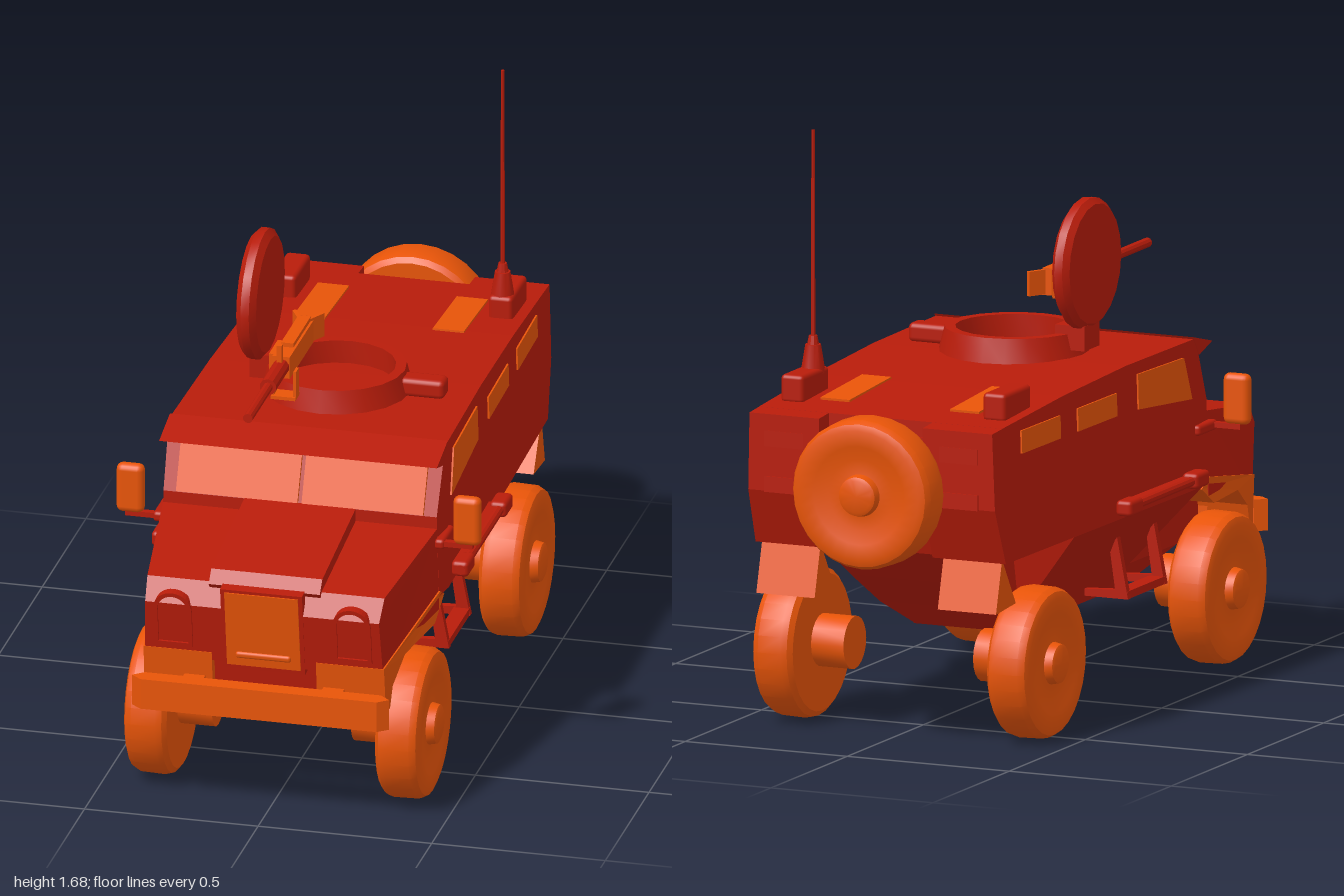
import * as THREE from 'three';
import { toCreasedNormals } from 'three/addons/utils/BufferGeometryUtils.js';
import { RoundedBoxGeometry } from 'three/addons/geometries/RoundedBoxGeometry.js';

const red = new THREE.MeshStandardMaterial({ color: 0xb81c0a });
const orange = new THREE.MeshStandardMaterial({ color: 0xe85408 });
const { lerp, clamp } = THREE.MathUtils;

// Half width of the hull at a given z and y: narrow nose, slight tail taper, V-shaped belly
function hullWidth(z, y) {
  let w = z > 0.45 ? lerp(0.41, 0.34, (z - 0.45) / 0.5) : lerp(0.385, 0.41, (z + 0.85) / 1.3);
  if (y > 0.54) w -= 0.012 * (y - 0.54) / 0.43;
  else if (z < 0.5) w = lerp(w, 0.15, clamp((0.54 - y) / 0.31, 0, 1));
  return w;
}

export function createModel() {
  const model = new THREE.Group();

  const add = (name, geo, mat, x = 0, y = 0, z = 0) => {
    const m = new THREE.Mesh(geo, mat);
    m.name = name;
    m.position.set(x, y, z);
    model.add(m);
    return m;
  };
  const box = (name, mat, w, h, d, x, y, z, r = 0) =>
    add(name, r ? new RoundedBoxGeometry(w, h, d, 2, r) : new THREE.BoxGeometry(w, h, d), mat, x, y, z);
  const both = (fn) => [1, -1].forEach((s) => fn(s, s > 0 ? 'left' : 'right'));
  const rod = (name, mat, r0, r1, len, axis, x, y, z, sides = 14) => {
    const g = new THREE.CylinderGeometry(r1, r0, len, sides);
    if (axis === 'x') g.rotateZ(-Math.PI / 2);
    if (axis === 'z') g.rotateX(Math.PI / 2);
    return add(name, toCreasedNormals(g, 0.6), mat, x, y, z);
  };
  const lathe = (points, sides, crease) => toCreasedNormals(
    new THREE.LatheGeometry(points.map(([r, h]) => new THREE.Vector2(r, h)), sides), crease);

  // Side outline of [z, y] points, swept across x between two widths (numbers or rules)
  const slab = (name, mat, outline, from, to) => {
    const shape = new THREE.Shape(outline.map(([z, y]) => new THREE.Vector2(-z, y)));
    const g = new THREE.ExtrudeGeometry(shape, { depth: 1, bevelEnabled: false }).rotateY(Math.PI / 2);
    const p = g.attributes.position;
    const at = (f, z, y) => (typeof f === 'function' ? f(z, y) : f);
    for (let i = 0; i < p.count; i++) {
      const z = p.getZ(i), y = p.getY(i);
      p.setX(i, lerp(at(from, z, y), at(to, z, y), p.getX(i)));
    }
    g.computeVertexNormals();
    return add(name, g, mat);
  };
  const negate = (f) => (typeof f === 'function' ? (z, y) => -f(z, y) : -f);
  const fullSlab = (name, mat, outline, f) => slab(name, mat, outline, negate(f), f);
  const sideSlab = (name, mat, outline, inner, outer) => both((s, side) => {
    if (s > 0) slab(`${side}${name}`, mat, outline, inner, outer);
    else slab(`${side}${name}`, mat, outline, negate(outer), negate(inner));
  });
  const proud = (d) => (z, y) => hullWidth(z, y) + d;

  // Hull
  fullSlab('cabin', red, [[0.52, 0.54], [0.52, 0.78], [0.44, 0.965], [0, 0.965], [-0.4, 0.95],
    [-0.78, 0.925], [-0.78, 0.66], [-0.74, 0.54], [0.45, 0.54]], hullWidth);
  sideSlab('RearCorner', red, [[-0.76, 0.926], [-0.845, 0.92], [-0.84, 0.7], [-0.78, 0.54], [-0.7, 0.54]], 0.16, hullWidth);
  fullSlab('hood', red, [[0.52, 0.5], [0.52, 0.745], [0.91, 0.69], [0.955, 0.63], [0.93, 0.46], [0.86, 0.48]], hullWidth);
  fullSlab('hoodBulge', red, [[0.5, 0.7], [0.5, 0.785], [0.9, 0.725], [0.93, 0.69], [0.9, 0.65]], 0.16);
  fullSlab('lowerHull', red, [[0.47, 0.54], [0.33, 0.23], [-0.24, 0.23], [-0.305, 0.33], [-0.35, 0.54]], hullWidth);
  fullSlab('chassis', red, [[0.91, 0.5], [0.89, 0.36], [0.74, 0.31], [-0.36, 0.31], [-0.55, 0.42], [-0.74, 0.54]], 0.2);
  fullSlab('keel', red, [[0.74, 0.31], [0.5, 0.23], [-0.24, 0.23], [-0.36, 0.31]],
    (z, y) => lerp(0.147, 0.2, (y - 0.23) / 0.08));
  fullSlab('visor', red, [[0.42, 0.972], [0.545, 0.94], [0.46, 0.915]], 0.4);
  box('rearDoor', red, 0.28, 0.3, 0.014, 0, 0.73, -0.781);
  both((s, side) => {
    for (const y of [0.85, 0.72]) box(`${side}RearLampPanel`, red, 0.12, 0.045, 0.012, s * 0.27, y, -0.839);
  });

  // Front end
  sideSlab('FrontFender', orange, [[0.935, 0.485], [0.52, 0.557], [0.47, 0.53], [0.56, 0.475], [0.78, 0.47],
    [0.87, 0.41], [0.89, 0.35], [0.92, 0.35]], 0.15, proud(0.004));
  const bumper = new THREE.Shape([[-0.37, -0.972], [-0.34, -0.945], [0.34, -0.945], [0.37, -0.972], [0.34, -0.997], [-0.34, -0.997]]
    .map(([x, y]) => new THREE.Vector2(x, y)));
  add('bumper', new THREE.ExtrudeGeometry(bumper, { depth: 0.09, bevelEnabled: false }).rotateX(-Math.PI / 2), orange, 0, 0.32, 0);
  both((s) => box('bumperMount', orange, 0.06, 0.06, 0.08, s * 0.2, 0.38, 0.915));
  const tilt = 0.147;
  box('grilleFrame', red, 0.236, 0.255, 0.03, 0, 0.57, 0.933).rotation.x = tilt;
  box('grille', orange, 0.212, 0.232, 0.03, 0, 0.572, 0.937).rotation.x = tilt;
  box('grilleHandle', orange, 0.16, 0.02, 0.02, 0, 0.49, 0.937, 0.008).rotation.x = tilt;
  const arch = (w, h) => new THREE.Shape().moveTo(-w, 0).lineTo(w, 0).lineTo(w, h - w).absarc(0, h - w, w, 0, Math.PI).lineTo(-w, 0);
  both((s, side) => {
    const rim = arch(0.055, 0.17);
    const hole = arch(0.043, 0.147);
    rim.holes.push(new THREE.Path(hole.getPoints(8).map((p) => p.add(new THREE.Vector2(0, 0.011)))));
    const g = new THREE.ExtrudeGeometry(rim, { depth: 0.025, bevelEnabled: false, curveSegments: 8 });
    add(`${side}HeadlightFrame`, g, red, s * 0.258, 0.502, 0.917).rotation.x = tilt;
  });

  // Glazing
  const paneAngle = -Math.atan2(0.08, 0.185);
  both((s, side) => {
    box(`${side}Windshield`, orange, 0.35, 0.16, 0.016, s * 0.181, 0.855, 0.489).rotation.x = paneAngle;
  });
  sideSlab('DoorWindow', orange, [[0.4, 0.8], [0.355, 0.925], [0.065, 0.93], [0.065, 0.83]], hullWidth, proud(0.005));
  for (const [a, b] of [[-0.07, -0.315], [-0.425, -0.67]])
    sideSlab('RearWindow', orange, [[a, 0.835], [a, 0.9], [b, 0.9], [b, 0.835]], hullWidth, proud(0.005));

  // Side fittings: mirrors, grab rails, steps, mud flaps
  both((s, side) => {
    box(`${side}Mirror`, orange, 0.08, 0.145, 0.04, s * 0.485, 0.785, 0.53, 0.018);
    box(`${side}MirrorArm`, red, 0.11, 0.015, 0.02, s * 0.445, 0.707, 0.525);
    box(`${side}MirrorBracket`, red, 0.03, 0.03, 0.12, s * 0.405, 0.705, 0.48, 0.01);
    rod(`${side}SideRail`, red, 0.014, 0.014, 0.5, 'z', s * 0.435, 0.58, 0.165, 10);
    for (const z of [-0.065, 0.37]) box(`${side}RailEnd`, red, 0.05, 0.045, 0.085, s * 0.432, 0.58, z, 0.012);
    box(`${side}RailBacking`, red, 0.04, 0.022, 0.42, s * 0.415, 0.58, 0.155);
    // Folded step: two tapering arms joined by a tread
    const arm = new THREE.Shape([[0.34, 0.47], [0.375, 0.29], [0.24, 0.29], [0.24, 0.31], [0.335, 0.315], [0.32, 0.42]]
      .map(([x, y]) => new THREE.Vector2(s * x, y)));
    for (const z of [0.045, 0.285])
      add(`${side}StepArm`, new THREE.ExtrudeGeometry(arm, { depth: 0.02, bevelEnabled: false }), red, 0, 0, z);
    box(`${side}StepTread`, red, 0.045, 0.022, 0.25, s * 0.35, 0.301, 0.175);
  });
  sideSlab('MudFlap', orange, [[-0.77, 0.55], [-0.68, 0.41], [-0.81, 0.4]], 0.19, 0.37);

  // Wheels: square-shouldered tyre, shallow dished face, small hub
  const wheelGeo = lathe([[0, 0], [0.195, 0], [0.21, 0.012], [0.215, 0.03], [0.213, 0.1], [0.203, 0.118], [0.185, 0.125],
    [0.14, 0.122], [0.1, 0.108], [0.06, 0.112], [0.055, 0.135], [0.045, 0.14], [0, 0.14]], 28, 0.5);
  both((s, side) => {
    for (const [end, z] of [['Front', 0.66], ['Rear', -0.525]]) {
      add(`${side}${end}Wheel`, wheelGeo, orange, s * 0.3, 0.215, z).rotation.z = -s * Math.PI / 2;
      rod(`${side}${end}Axle`, orange, 0.075, 0.075, 0.12, 'x', s * 0.26, 0.222, z, 20);
    }
  });
  add('spareWheel', wheelGeo, orange, -0.027, 0.74, -0.86).rotation.x = -Math.PI / 2;
  rod('spareWheelMount', orange, 0.075, 0.075, 0.13, 'z', -0.027, 0.74, -0.81, 20);

  // Roof ring and raised hatch lid
  add('hatchRing', lathe([[0.215, 0.95], [0.195, 1.03], [0.165, 1.03], [0.165, 0.96]], 20, 0.4), red, 0, 0, 0.095);
  box('ringLatch', red, 0.13, 0.055, 0.065, 0.25, 0.99, 0.095, 0.015);
  box('hatchHinge', red, 0.09, 0.07, 0.1, -0.195, 1.02, 0.095);
  const lid = lathe([[0, -0.028], [0.165, -0.028], [0.186, -0.012], [0.186, 0.012], [0.17, 0.028], [0, 0.028]], 20, 0.4);
  add('hatchLid', lid, red, -0.218, 1.225, 0.105).rotation.z = Math.PI / 2;

  // Roof gun
  const gx = -0.08;
  box('gunReceiver', orange, 0.05, 0.065, 0.27, gx, 1.145, 0.285);
  box('gunCover', orange, 0.036, 0.02, 0.2, gx, 1.18, 0.25);
  box('gunAmmoBox', orange, 0.035, 0.05, 0.1, gx - 0.025, 1.145, 0.34);
  box('gunSight', orange, 0.015, 0.06, 0.02, gx, 1.19, 0.435);
  rod('gunJacket', red, 0.024, 0.024, 0.16, 'z', gx, 1.147, 0.49, 10);
  rod('gunBarrel', red, 0.014, 0.014, 0.3, 'z', gx, 1.147, 0.65, 10);
  for (const s of [1, -1]) {
    box('gunGrip', orange, 0.012, 0.07, 0.08, gx + s * 0.022, 1.15, 0.14).rotation.y = -s * 0.5;
    box('gunCradleSide', orange, 0.008, 0.085, 0.035, gx + s * 0.032, 1.08, 0.375);
  }
  box('gunCradleBase', orange, 0.07, 0.01, 0.05, gx, 1.042, 0.375);

  // Rear roof hatches, stowage boxes and antenna
  both((s, side) => {
    box(`${side}RoofWindow`, orange, 0.09, 0.01, 0.275, s * 0.2, 0.943, -0.518).rotation.x = -0.06;
    box(`${side}RoofBox`, red, 0.07, 0.08, 0.175, s * 0.312, 0.965, -0.615, 0.012);
  });
  rod('antennaBase', red, 0.035, 0.022, 0.08, 'y', 0.31, 1.03, -0.565, 12);
  rod('antennaCollar', red, 0.018, 0.012, 0.03, 'y', 0.31, 1.08, -0.565, 10);
  rod('antenna', red, 0.007, 0.005, 0.6, 'y', 0.31, 1.38, -0.565, 8);

  return model;
}
